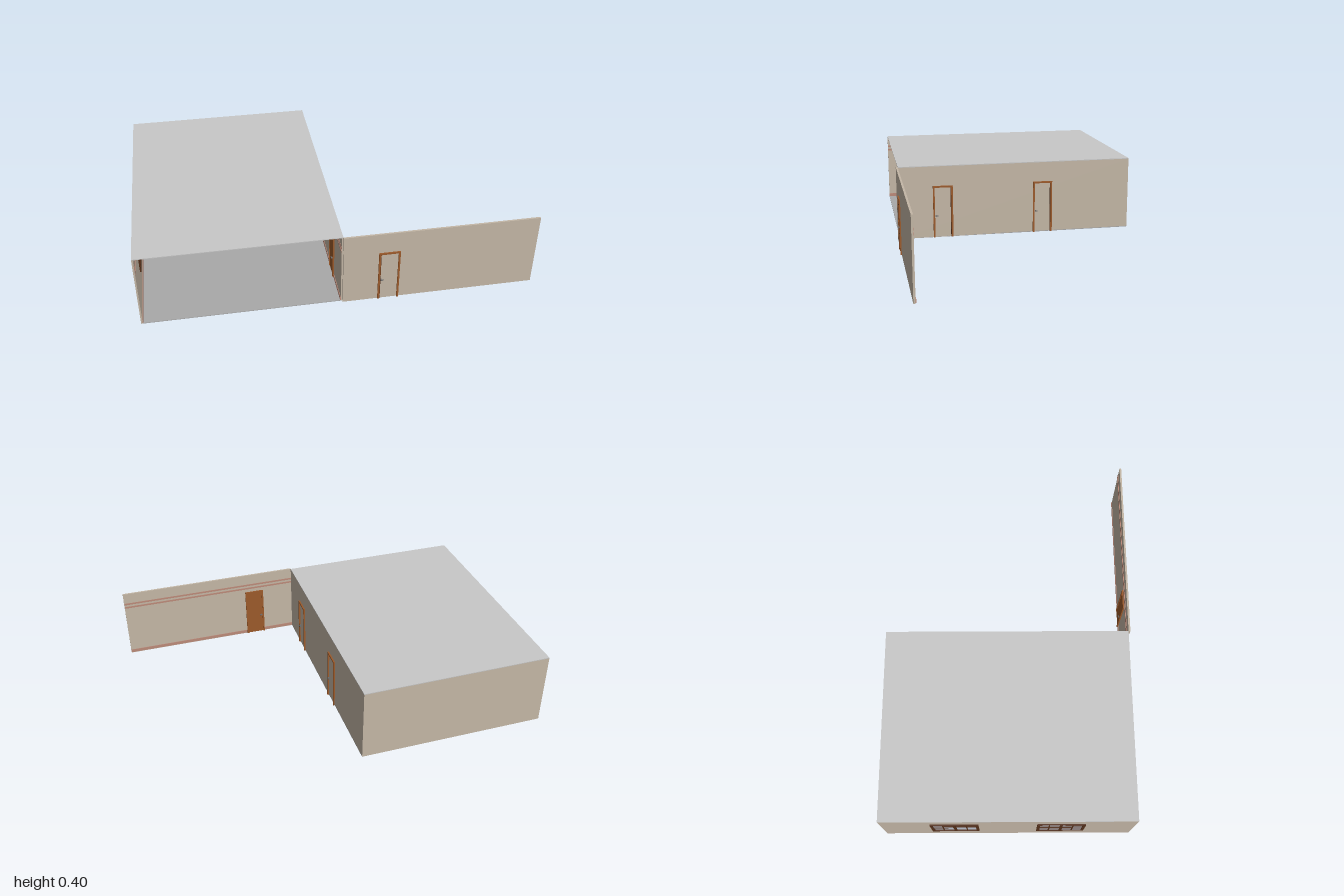
import * as THREE from 'three';

const mat = (name, color) => Object.assign(new THREE.MeshStandardMaterial({ color }), { name });
const M = {
  wall: mat('wall beige', 0xc4b7a6),
  grey: mat('ceiling grey', 0xc8c8c8),
  floor: mat('floor grey', 0xa9a9a9),
  wood: mat('door wood', 0x9c5a2b),
  board: mat('board brown', 0x8b5832),
  dark: mat('dark wood', 0x55301a),
  trim: mat('trim pink', 0xbc8b7a),
  glass: mat('window glass', 0xbcc4d0),
  metal: mat('handle metal', 0x6e6e6e),
  lamp: mat('lamp white', 0xdfe4e6),
};

// Box given by its lower and upper corners
function box(parent, name, material, [x0, y0, z0], [x1, y1, z1]) {
  const mesh = new THREE.Mesh(new THREE.BoxGeometry(x1 - x0, y1 - y0, z1 - z0), material);
  mesh.position.set((x0 + x1) / 2, (y0 + y1) / 2, (z0 + z1) / 2);
  mesh.name = name;
  parent.add(mesh);
  return mesh;
}

function group(parent, name, x, y, z, turn = 0) {
  const g = new THREE.Group();
  g.name = name;
  g.position.set(x, y, z);
  g.rotation.y = turn;
  parent.add(g);
  return g;
}

// Skirting and two wall bands, facing local +z
function trims(parent, name, length, x, z, turn) {
  const g = group(parent, name, x, 0, z, turn);
  const h = length / 2;
  box(g, 'skirting', M.trim, [-h, 0.004, 0], [h, 0.022, 0.003]);
  for (const y of [0.308, 0.33]) box(g, 'wallBand', M.trim, [-h, y, 0], [h, y + 0.01, 0.002]);
}

// Door with the leaf on the inner side (-z) and handles on both sides
function door(parent, name, x, z, turn, half, darkSide) {
  const g = group(parent, name, x, 0, z, turn);
  const w = 0.054, t = 0.009, top = 0.288, d = 0.012;
  for (const s of [-1, 1]) {
    box(g, 'doorJamb', M.wood, [s * (w - t / 2) - t / 2, 0, -d], [s * (w - t / 2) + t / 2, top, d]);
    box(g, 'handleStem', M.metal, [-0.042, 0.118, s > 0 ? half : -half - 0.012],
      [-0.037, 0.124, s > 0 ? half + 0.008 : -half]);
    const bar = s > 0 ? half + 0.008 : -half - 0.012;
    box(g, 'handleBar', M.metal, [-0.042, 0.118, bar - 0.002], [-0.028, 0.124, bar + 0.002]);
  }
  box(g, 'doorHead', M.wood, [-w + t, top - t, -d], [w - t, top, d]);
  box(g, 'doorLeaf', M.wood, [-w + t, 0.002, -half - 0.004], [w - t, top - t, -half]);
  const e = darkSide * (w - t - 0.001);
  box(g, 'doorEdge', M.dark, [e - 0.002, 0, half], [e + 0.002, top - t, half + 0.004]);
}

// Window with two barred sashes, showing on both sides of the wall
function window4(parent, z) {
  const g = group(parent, 'window', -0.996, 0.12, z, Math.PI / 2);
  const w = 0.12, h = 0.2, d = 0.01;
  box(g, 'windowGlass', M.glass, [-w, 0, -0.0055], [w, h, 0.0055]);
  for (const x of [-w + 0.005, 0, w - 0.005])
    box(g, 'windowPost', M.dark, [x - 0.007, 0, -d], [x + 0.007, h, d]);
  for (const y of [0.005, h - 0.005])
    box(g, 'windowRail', M.dark, [-w, y - 0.006, -d], [w, y + 0.006, d]);
  for (const x of [-w / 2, w / 2])
    box(g, 'glazingBar', M.dark, [x - 0.003, 0, -0.008], [x + 0.003, h, 0.008]);
  for (let i = 1; i < 4; i++)
    box(g, 'glazingBar', M.dark, [-w, h * i / 4 - 0.003, -0.008], [w, h * i / 4 + 0.003, 0.008]);
}

export function createModel() {
  const model = new THREE.Group();
  model.name = 'classroom';
  const H = 0.4, back = -0.655, front = 0.637, R = 0.004;

  // Room shell, open at the front
  box(model, 'floor', M.floor, [-0.999, 0, back + 0.001], [R, 0.004, front]);
  box(model, 'ceiling', M.grey, [-1, H - 0.004, back], [R, H, front]);
  box(model, 'leftSideWall', M.wall, [-1, 0.001, back], [-0.992, H - 0.004, front]);
  box(model, 'rightSideWall', M.wall, [-R, 0.001, back], [R, H - 0.004, front]);
  box(model, 'backWall', M.wall, [-0.992, 0.001, back], [-R, H - 0.004, back + 0.008]);
  // Corridor wall running on from the front corner
  box(model, 'corridorWall', M.wall, [R, 0, front], [1, H, 0.647]);

  // Trims on the inner faces
  trims(model, 'backTrim', 0.986, -0.498, back + 0.008, 0);
  trims(model, 'leftTrim', 1.284, -0.992, -0.005, Math.PI / 2);
  trims(model, 'rightTrim', 1.284, -R, -0.005, -Math.PI / 2);
  trims(model, 'corridorTrim', 0.994, 0.502, front, Math.PI);

  // Doors and windows
  door(model, 'corridorDoor', 0.236, 0.642, 0, 0.005, -1);
  door(model, 'frontDoor', 0, 0.398, Math.PI / 2, R, 1);
  door(model, 'rearDoor', 0, -0.158, Math.PI / 2, R, 1);
  for (const z of [-0.28, 0.26]) window4(model, z);

  // Board on the back wall with a picture
  const b = group(model, 'wallBoard', -0.495, 0, back + 0.008);
  box(b, 'board', M.board, [-0.315, 0.022, 0], [0.315, 0.36, 0.008]);
  box(b, 'picture', M.trim, [-0.057, 0.19, 0.008], [0.06, 0.345, 0.012]);
  const patch = (name, material, pts, z) => {
    const shape = new THREE.Shape(pts.map(p => new THREE.Vector2(...p)));
    const m = new THREE.Mesh(new THREE.ShapeGeometry(shape), material);
    m.name = name;
    m.position.z = z;
    b.add(m);
  };
  patch('pictureBrownPatch', M.board, [[-0.05, 0.225], [-0.01, 0.215], [0.04, 0.25], [0.05, 0.28],
    [0.02, 0.28], [0.01, 0.31], [-0.015, 0.305], [-0.01, 0.275], [-0.05, 0.28]], 0.0135);
  patch('picturePalePatch', M.glass, [[-0.005, 0.22], [0.05, 0.228], [0.05, 0.25], [0.02, 0.26]], 0.015);

  // Ceiling lamps in a four by four grid
  for (const x of [-0.858, -0.614, -0.376, -0.128])
    for (const z of [-0.45, -0.15, 0.15, 0.45]) {
      const g = group(model, 'ceilingLamp', x, 0, z);
      box(g, 'lampHousing', M.metal, [-0.041, 0.389, -0.06], [0.041, H - 0.004, 0.06]);
      box(g, 'lampPanel', M.lamp, [-0.037, 0.386, -0.056], [0.037, 0.389, 0.056]);
    }
  return model;
}
